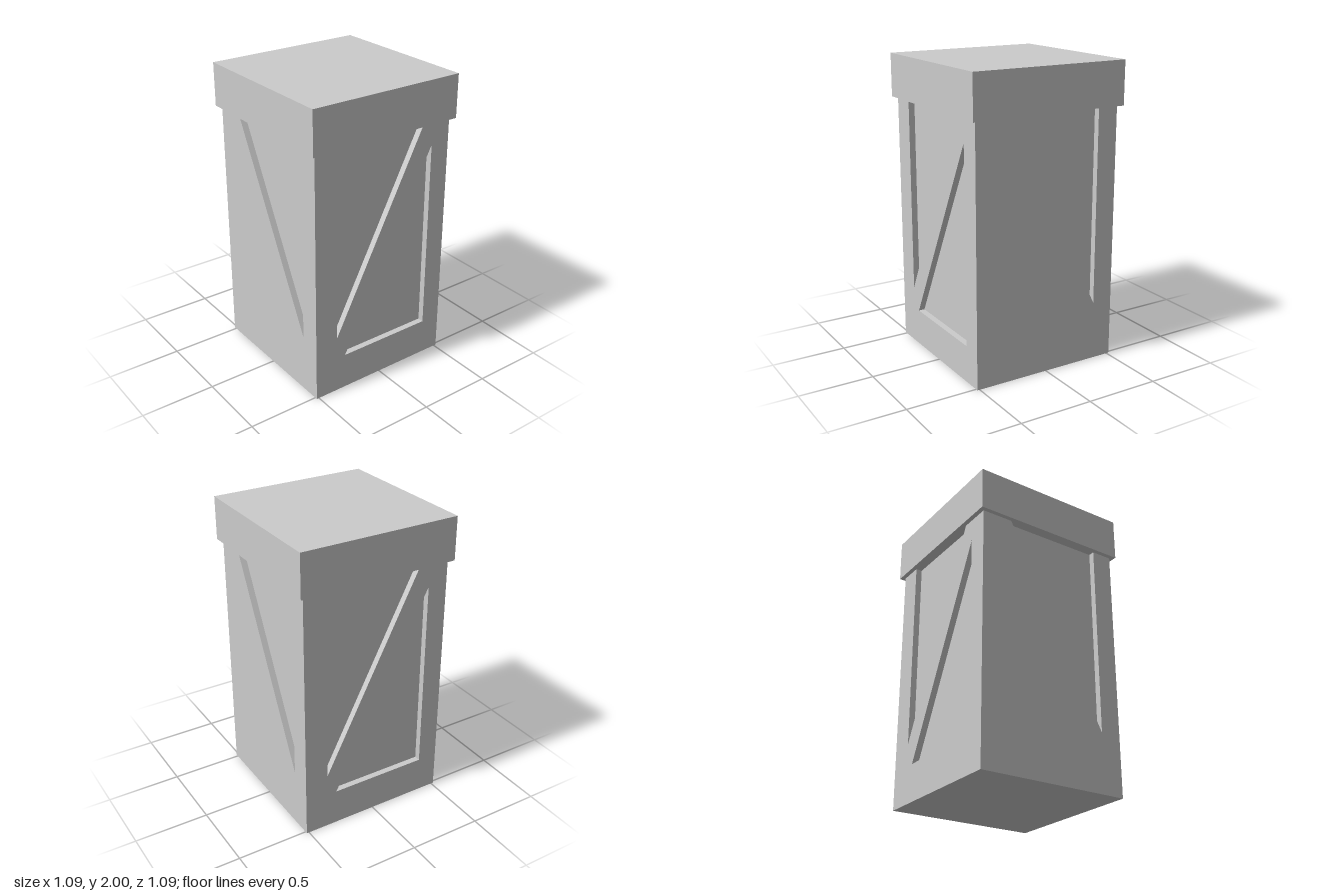
import * as THREE from 'three';

const HALF = 0.517;   // half width of the body
const DEPTH = 0.042;  // how far the panels are sunk into the frames
const RIM = 1.71;     // underside of the lid

// Side frame: posts, bottom rail and diagonal brace around two sunken panels
function frameGeometry(half, mirror, postEdge) {
  const points = (list) => list.map(([x, y]) => new THREE.Vector2(x * mirror, y));
  const shape = new THREE.Shape(points([
    [-half, 0], [half, 0], [half, RIM], [0.305, RIM],
    [-postEdge, 0.4], [-postEdge, RIM], [-half, RIM],
  ]));
  shape.holes.push(new THREE.Path(points([[-0.29, 0.25], [0.38, 0.25], [0.38, 1.56]])));
  return new THREE.ExtrudeGeometry(shape, { depth: DEPTH, bevelEnabled: false });
}

export function createModel() {
  const model = new THREE.Group();
  const material = new THREE.MeshStandardMaterial({ color: 0xcccccc, flatShading: true });

  const add = (name, geometry, parent = model) => {
    const mesh = new THREE.Mesh(geometry, material);
    mesh.name = name;
    parent.add(mesh);
    return mesh;
  };

  // Inner box whose walls are the sunken panels
  const inner = 2 * (HALF - DEPTH);
  add('innerBox', new THREE.BoxGeometry(inner, RIM, inner)).position.y = RIM / 2;

  // Four frames; the braces meet at the tops of two opposite corners
  ['frontFrame', 'leftFrame', 'backFrame', 'rightFrame'].forEach((name, i) => {
    const side = i % 2 === 1;
    const turn = new THREE.Group();
    turn.name = name;
    turn.rotation.y = i * Math.PI / 2;
    const geometry = frameGeometry(side ? HALF - DEPTH : HALF, side ? -1 : 1, side ? 0.375 : 0.357);
    add(name + 'Boards', geometry, turn).position.z = HALF - DEPTH;
    model.add(turn);
  });

  // Overhanging lid
  add('lid', new THREE.BoxGeometry(1.094, 2 - RIM, 1.094)).position.y = (2 + RIM) / 2;

  return model;
}
